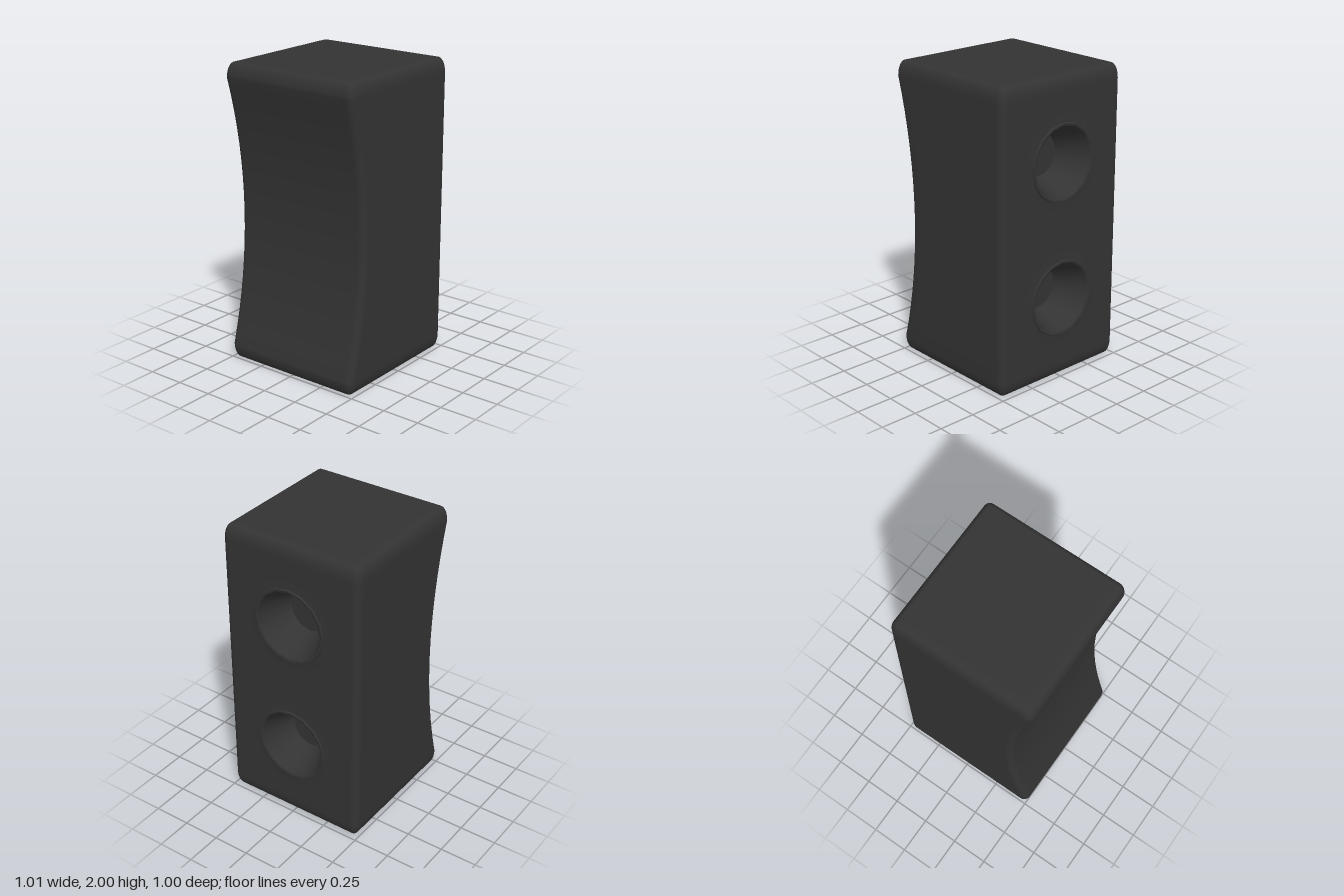
import * as THREE from 'three';
import { mergeVertices, toCreasedNormals } from 'three/addons/utils/BufferGeometryUtils.js';

const charcoal = new THREE.MeshStandardMaterial({ color: 0x333333 });
charcoal.name = 'charcoal';

const FACE_X = 0.49;                 // plane that carries the two drivers
const DRIVER_HEIGHTS = [0.555, 1.455];
const N = 24, BEVEL_STEPS = 4, R = 0.05, INNER = 0.5 - R;

// Spread grid lines so that the outer few fall inside the rounded edge
function gridLine(t) {
  const i = Math.round((t + 0.5) * N);
  if (i <= BEVEL_STEPS) return -0.5 + (R * i) / BEVEL_STEPS;
  if (i >= N - BEVEL_STEPS) return 0.5 - (R * (N - i)) / BEVEL_STEPS;
  return -INNER + (2 * INNER * (i - BEVEL_STEPS)) / (N - 2 * BEVEL_STEPS);
}

// Rounded block with a concave -x side and an opening left on the +x side
function cabinetGeometry() {
  let geo = new THREE.BoxGeometry(1, 1, 1, N, N, N);
  const pos = geo.attributes.position;
  const p = new THREE.Vector3(), core = new THREE.Vector3();
  for (let i = 0; i < pos.count; i++) {
    p.fromBufferAttribute(pos, i);
    p.set(gridLine(p.x), gridLine(p.y), gridLine(p.z));
    core.copy(p).clampScalar(-INNER, INNER);
    p.sub(core).setLength(R).add(core);
    p.y *= 2;
    const hollow = 0.13 * (1 - Math.min(1, (p.y / 0.9) ** 2));
    p.x += hollow * THREE.MathUtils.clamp((INNER - p.x) / (2 * INNER), 0, 1);
    pos.setXYZ(i, p.x - 0.01, p.y + 1, p.z);
  }
  geo.deleteAttribute('uv');
  geo.deleteAttribute('normal');
  geo.clearGroups();
  geo = mergeVertices(geo, 1e-5);
  geo.computeVertexNormals();

  // Drop the flat part of the +x side
  const index = geo.index.array, kept = [];
  for (let i = 0; i < index.length; i += 3) {
    const tri = [index[i], index[i + 1], index[i + 2]];
    if (!tri.every((v) => geo.attributes.position.getX(v) > FACE_X - 1e-4)) kept.push(...tri);
  }
  geo.setIndex(kept);
  return geo;
}

// Flat panel with a round hole for each driver
function baffleGeometry() {
  const shape = new THREE.Shape();
  shape.moveTo(-INNER, 0.1).lineTo(INNER, 0.1).lineTo(INNER, 1.9).lineTo(-INNER, 1.9);
  shape.closePath();
  for (const y of DRIVER_HEIGHTS) {
    shape.holes.push(new THREE.Path().absarc(0, y, 0.25, 0, Math.PI * 2, true));
  }
  return new THREE.ShapeGeometry(shape, 16).rotateY(Math.PI / 2).translate(FACE_X, 0, 0);
}

// Shallow collar, raised rim, tapering well and flat bottom, turned about x
function driverGeometry() {
  const profile = [
    [0.31, 0.4905], [0.257, 0.494], [0.255, 0.503], [0.248, 0.505],
    [0.235, 0.5], [0.14, 0.28], [0, 0.28],
  ].map(([r, h]) => new THREE.Vector2(r, h));
  const geo = new THREE.LatheGeometry(profile, 16).rotateZ(-Math.PI / 2);
  return toCreasedNormals(geo, 0.5);
}

export function createModel() {
  const model = new THREE.Group();
  model.name = 'speakerCabinet';
  const add = (name, geometry) => {
    const mesh = new THREE.Mesh(geometry, charcoal);
    mesh.name = name;
    model.add(mesh);
    return mesh;
  };

  add('cabinet', cabinetGeometry());
  add('baffle', baffleGeometry());
  const driver = driverGeometry();
  DRIVER_HEIGHTS.forEach((y, i) => {
    add(i ? 'upperDriver' : 'lowerDriver', driver).position.y = y;
  });
  return model;
}
